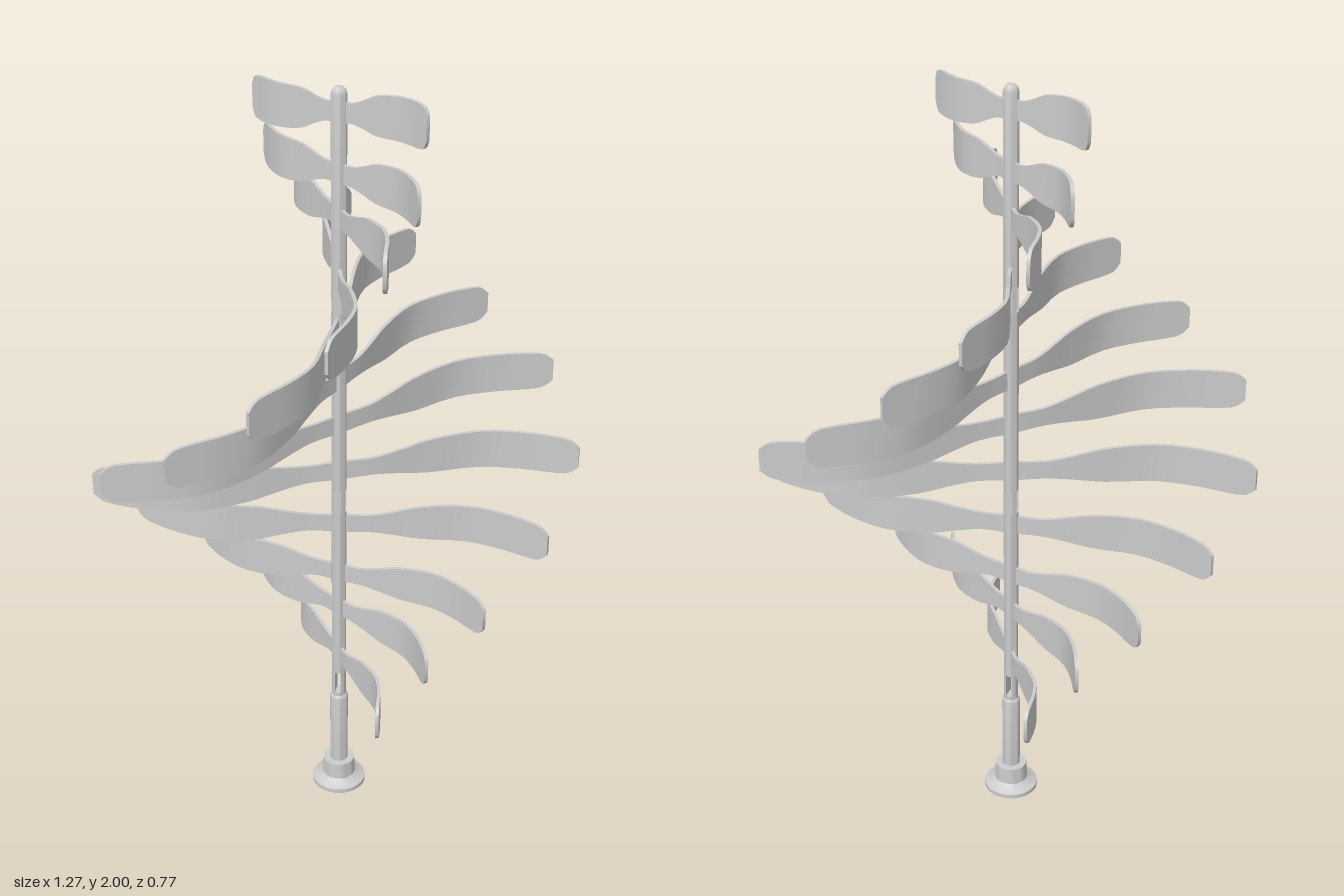
import * as THREE from 'three';
import { toCreasedNormals } from 'three/addons/utils/BufferGeometryUtils.js';

const material = new THREE.MeshStandardMaterial({ color: 0xcccccc });

// Half-blade stations: fraction of length, sideways bow (fraction of length), half height
const stations = [
  [0, 0, 0.026], [0.14, 0.022, 0.024], [0.25, 0.048, 0.033], [0.38, 0.08, 0.047], [0.6, 0.118, 0.052],
  [0.78, 0.085, 0.053], [0.9, 0.04, 0.052], [0.965, 0.014, 0.046], [1, 0, 0.028],
].map((p) => new THREE.Vector3(...p));

// Thin S-shaped paddle running through the pole, lofted from rectangular sections
function bladeGeometry(length) {
  const half = new THREE.CatmullRomCurve3(stations).getPoints(24);
  const other = half.slice(1).reverse().map((p) => new THREE.Vector3(-p.x, -p.y, p.z));
  const path = [...other, ...half];
  const t = 0.0045;
  const rings = path.map((p, i) => {
    const a = path[Math.max(i - 1, 0)], b = path[Math.min(i + 1, path.length - 1)];
    const d = new THREE.Vector2(b.x - a.x, a.y - b.y).normalize();
    const x = p.x * length, z = -p.y * length;
    return [[1, 1], [1, -1], [-1, -1], [-1, 1]].map(([u, s]) => [x - d.y * s * t, u * p.z, z + d.x * s * t]);
  });
  const pos = [];
  const quad = (a, b, c, d) => pos.push(...a, ...b, ...c, ...a, ...c, ...d);
  for (let i = 0; i < rings.length - 1; i++) {
    for (let k = 0; k < 4; k++) {
      const n = (k + 1) % 4;
      quad(rings[i][k], rings[i + 1][k], rings[i + 1][n], rings[i][n]);
    }
  }
  quad(...rings[0]);
  quad(...[...rings[rings.length - 1]].reverse());
  const g = new THREE.BufferGeometry();
  g.setAttribute('position', new THREE.Float32BufferAttribute(pos, 3));
  return toCreasedNormals(g, 0.7);
}

function lathe(points) {
  const g = new THREE.LatheGeometry(points.map(([r, y]) => new THREE.Vector2(r, y)), 32);
  return toCreasedNormals(g, 0.6);
}

export function createModel() {
  const model = new THREE.Group();
  model.name = 'windSpinner';
  const add = (name, geometry, parent = model) => {
    const mesh = new THREE.Mesh(geometry, material);
    mesh.name = name;
    parent.add(mesh);
    return mesh;
  };

  // Flanged foot and lower sleeve
  add('base', lathe([[0, 0], [0.072, 0], [0.072, 0.012], [0.055, 0.018], [0.044, 0.028], [0.042, 0.075], [0, 0.075]]));
  add('sleeve', lathe([[0, 0.07], [0.024, 0.07], [0.024, 0.288], [0.02, 0.294], [0, 0.294]]));

  // Pole sections, the topmost with a domed end
  const r = 0.019;
  const sections = [[0.28, 0.305], [0.37, 0.875], [0.94, 1.435], [1.5, 1.981]];
  sections.forEach(([y0, y1], i) => {
    const end = i < 3 ? [[r, y1], [0, y1]] : [[r, y1], [r * 0.87, y1 + 0.0095], [r * 0.5, y1 + 0.0165], [0, y1 + r]];
    add('poleSection', lathe([[0, y0], [r, y0], ...end]));
  });

  // Slotted joints between the sections: two prongs with a gap
  const gap = Math.asin(0.4);
  const prong = new THREE.Shape();
  prong.absarc(0, 0, r, gap, Math.PI - gap, false);
  prong.closePath();
  [[0.305, 0.37, -Math.PI / 4], [0.875, 0.94, Math.PI / 4], [1.435, 1.5, Math.PI / 4]].forEach(([y0, y1, slot]) => {
    const joint = new THREE.Group();
    joint.name = 'slottedJoint';
    joint.position.y = y0;
    joint.rotation.y = -slot;
    const g = new THREE.ExtrudeGeometry(prong, { depth: y1 - y0, bevelEnabled: false, curveSegments: 12 });
    g.rotateX(-Math.PI / 2);
    for (const turn of [0, Math.PI]) add('prong', toCreasedNormals(g, 0.6), joint).rotation.y = turn;
    model.add(joint);
  });

  // Twelve paddles in a helix: height, half length, heading in degrees
  const blades = [
    [1.938, 0.23, 64], [1.79, 0.28, 84], [1.68, 0.352, 107], [1.53, 0.46, 127], [1.4, 0.535, 145.5], [1.252, 0.596, 165],
    [1.127, 0.634, 186], [0.993, 0.617, 207.7], [0.837, 0.538, 225.5], [0.686, 0.427, 245], [0.577, 0.364, 266.5], [0.428, 0.336, 287],
  ];
  for (const [y, length, heading] of blades) {
    const blade = add('blade', bladeGeometry(length));
    blade.position.y = y;
    blade.rotation.y = -THREE.MathUtils.degToRad(heading);
  }
  return model;
}
